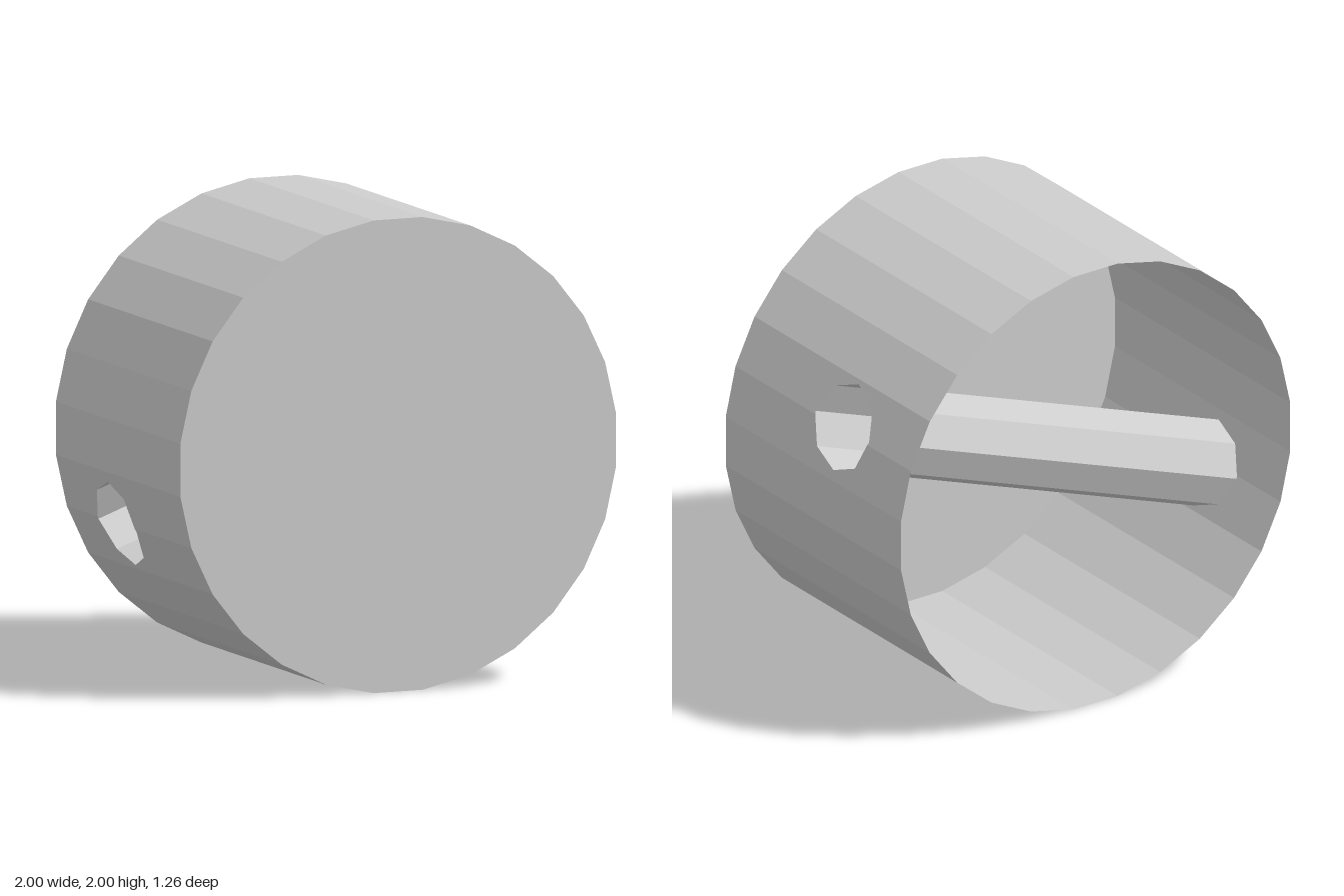
import * as THREE from 'three';

const SIDES = 28, STEP = (2 * Math.PI) / SIDES;
const R = 1 / Math.cos(STEP / 2);        // corner radius, flats at 1
const HALF = 0.63;                       // half depth
const TILT = (20 * Math.PI) / 180;       // slope of the cross tube
const TUBE_R = 0.192, TUBE_Z = -0.13;

// In the tube's frame: x runs along the tube, u across it, z is depth.
const cornerU = (k) => R * Math.sin((k + 0.5) * STEP - TILT);
const SEAM = cornerU(1);                 // wall edge that crosses the hole

// Distance along the tube at which it meets the faceted wall
function wallX(u) {
  const a = 2 * STEP - TILT, b = STEP - TILT;
  return Math.min((1 - u * Math.sin(a)) / Math.cos(a), (1 - u * Math.sin(b)) / Math.cos(b));
}

// Octagon outline, plus the points where the wall edges cross it
function tubeRing() {
  const pts = [];
  for (let i = 0; i < 8; i++) {
    const a = (i * Math.PI) / 4;
    pts.push([TUBE_R * Math.sin(a), TUBE_R * Math.cos(a)]);
  }
  const z = TUBE_R - Math.abs(SEAM) * Math.tan(Math.PI / 8);
  for (const u of [SEAM, -SEAM]) for (const s of [z, -z]) pts.push([u, s]);
  return pts.sort((p, q) => Math.atan2(p[0], p[1]) - Math.atan2(q[0], q[1]));
}

// One wall facet with half of the hole cut from its edge
function notchedFacet(ring, outerU) {
  const side = Math.sign(outerU - SEAM);
  const angle = (p) => Math.abs(Math.atan2(p[0] - SEAM, p[1]));
  const notch = ring.filter((p) => (p[0] - SEAM) * side >= 0)
    .sort((p, q) => angle(p) - angle(q))
    .map(([u, z]) => [u, z + TUBE_Z]);
  const outline = [[SEAM, -HALF], [outerU, -HALF], [outerU, HALF], [SEAM, HALF], ...notch];
  const geo = new THREE.ShapeGeometry(new THREE.Shape(outline.map((p) => new THREE.Vector2(...p))));
  const pos = geo.attributes.position;
  for (let i = 0; i < pos.count; i++) {
    const u = pos.getX(i), z = pos.getY(i);
    pos.setXYZ(i, wallX(u), u, z);
  }
  geo.computeVertexNormals();
  return geo;
}

// Open tube whose ends follow the wall
function tubeGeometry(ring) {
  const pos = [], index = [], n = ring.length;
  ring.forEach(([u, z], i) => {
    pos.push(wallX(u), u, z + TUBE_Z, -wallX(-u), u, z + TUBE_Z);
    const a = 2 * i, b = 2 * ((i + 1) % n);
    index.push(a, b, a + 1, b, b + 1, a + 1);
  });
  const geo = new THREE.BufferGeometry();
  geo.setAttribute('position', new THREE.Float32BufferAttribute(pos, 3));
  geo.setIndex(index);
  geo.computeVertexNormals();
  return geo;
}

export function createModel() {
  const model = new THREE.Group();
  model.name = 'piston';
  const metal = new THREE.MeshStandardMaterial({ color: 0xcccccc, flatShading: true, side: THREE.DoubleSide });
  metal.name = 'light grey metal';

  const body = new THREE.Group();
  body.name = 'body';
  body.position.y = 1;
  model.add(body);
  const add = (name, geo, turn = 0) => {
    const mesh = new THREE.Mesh(geo, metal);
    mesh.name = name;
    mesh.rotation.z = turn;
    body.add(mesh);
    return mesh;
  };

  // Closed front face
  add('crown', new THREE.CircleGeometry(R, SIDES, STEP / 2)).position.z = HALF;

  // Wall: two plain arcs, and two pairs of facets with the tube openings
  const arc = new THREE.CylinderGeometry(R, R, 2 * HALF, SIDES / 2 - 2, 1, true,
    2.5 * STEP + Math.PI / 2, (SIDES / 2 - 2) * STEP).rotateX(Math.PI / 2);
  const ring = tubeRing();
  const upper = notchedFacet(ring, cornerU(2));
  const lower = notchedFacet(ring, cornerU(0));
  for (const turn of [0, Math.PI]) {
    add('skirtWall', arc, turn);
    add('upperHoleFacet', upper, TILT + turn);
    add('lowerHoleFacet', lower, TILT + turn);
  }

  // Hollow pin tube through the body
  add('pinTube', tubeGeometry(ring), TILT);
  return model;
}
